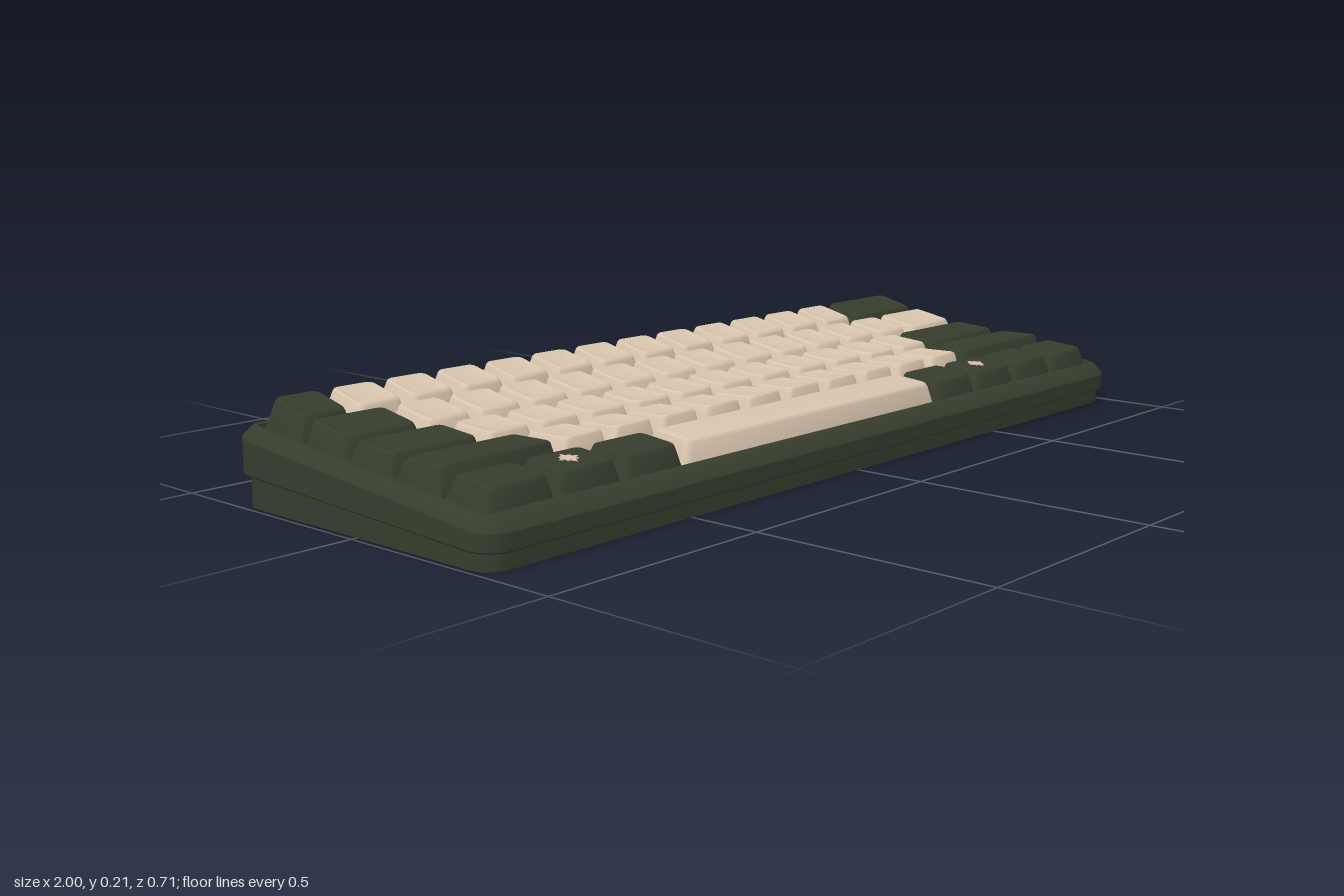
import * as THREE from 'three';
import { toCreasedNormals } from 'three/addons/utils/BufferGeometryUtils.js';

const green = new THREE.MeshStandardMaterial({ color: 0x363d2d });
green.name = 'dark green';
const beige = new THREE.MeshStandardMaterial({ color: 0xd8c4ad });
beige.name = 'warm beige';

// Sloping heights of the case, front (+z) low and back high
const seamY = z => 0.0485 - 0.046 * z;
const shoulderY = z => 0.1025 - 0.0966 * z;
const rimY = z => 0.124 - 0.095 * z;
const plateY = z => rimY(z) - 0.02;

// Rounded rectangle in plan, lifted by a height rule
function ring(cx, cz, hx, hz, r, height, steps = 4) {
  const points = [];
  [[1, 1], [-1, 1], [-1, -1], [1, -1]].forEach(([sx, sz], corner) => {
    for (let i = 0; i <= steps; i++) {
      const a = (corner + i / steps) * Math.PI / 2;
      const x = cx + sx * (hx - r) + r * Math.cos(a);
      const z = cz + sz * (hz - r) + r * Math.sin(a);
      points.push(new THREE.Vector3(x, height(z), z));
    }
  });
  return points;
}

// Skin over rings listed from bottom to top
function loft(rings, capBottom, capTop, crease = 0.5) {
  const n = rings[0].length;
  const points = rings.flat();
  const index = [];
  for (let j = 0; j < rings.length - 1; j++) {
    for (let i = 0; i < n; i++) {
      const a = j * n + i, b = j * n + (i + 1) % n;
      index.push(a, a + n, b, b, a + n, b + n);
    }
  }
  const cap = (start, up) => {
    const center = new THREE.Vector3();
    for (let i = 0; i < n; i++) center.addScaledVector(points[start + i], 1 / n);
    const c = points.push(center) - 1;
    for (let i = 0; i < n; i++) {
      const a = start + i, b = start + (i + 1) % n;
      index.push(c, up ? b : a, up ? a : b);
    }
  };
  if (capBottom) cap(0, false);
  if (capTop) cap((rings.length - 1) * n, true);
  const geometry = new THREE.BufferGeometry().setFromPoints(points);
  geometry.setIndex(index);
  return toCreasedNormals(geometry, crease);
}

// Row side profiles: base front/back z, top front z,y and top back z,y; then keys as [units, dark]
const repeat = (count, key) => Array(count).fill(key);
const rows = [
  { base: [-0.197, -0.319], front: [-0.206, 0.186], back: [-0.295, 0.208],
    keys: [[1, 1], ...repeat(12, [1, 0]), [2, 1]] },
  { base: [-0.068, -0.191], front: [-0.083, 0.164], back: [-0.179, 0.182],
    keys: [[1.5, 1], ...repeat(12, [1, 0]), [1.5, 0]] },
  { base: [0.059, -0.064], front: [0.048, 0.153], back: [-0.05, 0.161],
    keys: [[1.75, 1], ...repeat(11, [1, 0]), [2.25, 1]] },
  { base: [0.189, 0.064], front: [0.18, 0.152], back: [0.079, 0.15],
    keys: [[2.25, 1], ...repeat(10, [1, 0]), [2.75, 1]] },
  { base: [0.314, 0.193], front: [0.304, 0.132], back: [0.213, 0.141],
    keys: [...repeat(3, [1.25, 1]), [6.25, 0], ...repeat(4, [1.25, 1])] },
];
const UNIT = 0.128;

function topLine(row) {
  const [fz, fy] = row.front, [bz, by] = row.back;
  return z => fy + (by - fy) * (z - fz) / (bz - fz);
}

// Tapered keycap with a soft rim and a shallow dish (negative dish = crowned)
function keycap(row, cx, hw, dish) {
  const [fz] = row.front, [bz] = row.back;
  const [f, b] = row.base;
  const top = topLine(row);
  const tz = (fz + bz) / 2, th = (fz - bz) / 2;
  const sag = z => 0.5 * dish * (1 - ((z - tz) / th) ** 2);
  return loft([
    ring(cx, (f + b) / 2, hw, (f - b) / 2, 0.008, plateY, 3),
    ring(cx, tz, hw - 0.0125, th + 0.002, 0.013, z => top(z) - 0.007, 3),
    ring(cx, tz, hw - 0.0145, th - 0.001, 0.013, z => top(z) - 0.002 - sag(z), 3),
    ring(cx, tz, hw - 0.018, th - 0.005, 0.011, z => top(z) - sag(z), 3),
    ring(cx, tz, hw - 0.026, th - 0.013, 0.009, z => top(z) - 0.7 * dish, 3),
    ring(cx, tz, hw - 0.044, th - 0.03, 0.006, z => top(z) - dish, 3),
  ], false, true, 0.6);
}

// Small eight-point sparkle plate
function sparkle() {
  const shape = new THREE.Shape();
  for (let i = 0; i < 16; i++) {
    const r = i % 2 ? 0.013 : (i % 4 ? 0.018 : 0.023);
    const a = i * Math.PI / 8;
    shape[i ? 'lineTo' : 'moveTo'](r * Math.cos(a), r * Math.sin(a));
  }
  return new THREE.ExtrudeGeometry(shape, { depth: 0.005, bevelEnabled: false }).rotateX(-Math.PI / 2);
}

export function createModel() {
  const model = new THREE.Group();
  model.name = 'keyboard';
  const add = (name, geometry, material, parent = model) => {
    const mesh = new THREE.Mesh(geometry, material);
    mesh.name = name;
    parent.add(mesh);
    return mesh;
  };

  // Lower wedge
  add('caseBase', loft([
    ring(0, 0, 0.988, 0.346, 0.045, () => 0, 6),
    ring(0, 0, 0.988, 0.346, 0.045, z => seamY(z) + 0.008, 6),
  ], true, true), green);

  // Overhanging frame with chamfered rim and open well
  add('caseFrame', loft([
    ring(0, 0, 0.975, 0.333, 0.035, seamY, 6),
    ring(0, 0, 0.997, 0.354, 0.05, seamY, 6),
    ring(0, 0, 1, 0.357, 0.053, z => seamY(z) + 0.003, 6),
    ring(0, 0, 1, 0.357, 0.053, z => shoulderY(z) - 0.002, 6),
    ring(0, 0, 0.997, 0.354, 0.05, z => shoulderY(z) + 0.003, 6),
    ring(0, 0, 0.982, 0.338, 0.036, z => rimY(z) - 0.002, 6),
    ring(0, 0, 0.977, 0.332, 0.031, rimY, 6),
    ring(0, 0, 0.968, 0.321, 0.012, rimY, 6),
    ring(0, 0, 0.966, 0.319, 0.01, z => plateY(z) - 0.004, 6),
  ], false, false), green);

  // Switch plate under the keys
  add('switchPlate', loft([
    ring(0, 0, 0.969, 0.322, 0.01, z => plateY(z) - 0.006),
    ring(0, 0, 0.969, 0.322, 0.01, z => plateY(z) - 0.001),
  ], true, true), beige);

  // Keys, back row to front row
  rows.forEach((row, r) => {
    const group = new THREE.Group();
    group.name = `keyRow${r + 1}`;
    model.add(group);
    let x = -7.5 * UNIT;
    row.keys.forEach(([units, dark], k) => {
      const w = units * UNIT;
      const isBar = units > 6;
      const dish = isBar ? -0.002 : r === 4 ? 0.002 : 0.005;
      add(isBar ? 'spaceBar' : `key${k + 1}`,
        keycap(row, x + w / 2, w / 2 - 0.0015, dish), dark ? green : beige, group);
      x += w;
    });
  });

  // Sparkle accents on two front-row keys
  const front = rows[4];
  for (const x of [-0.72, 0.56]) {
    const z = 0.255;
    const mesh = add('keyAccent', sparkle(), beige);
    mesh.position.set(x, topLine(front)(z) - 0.005, z);
    mesh.rotation.x = 0.098;
  }
  return model;
}
